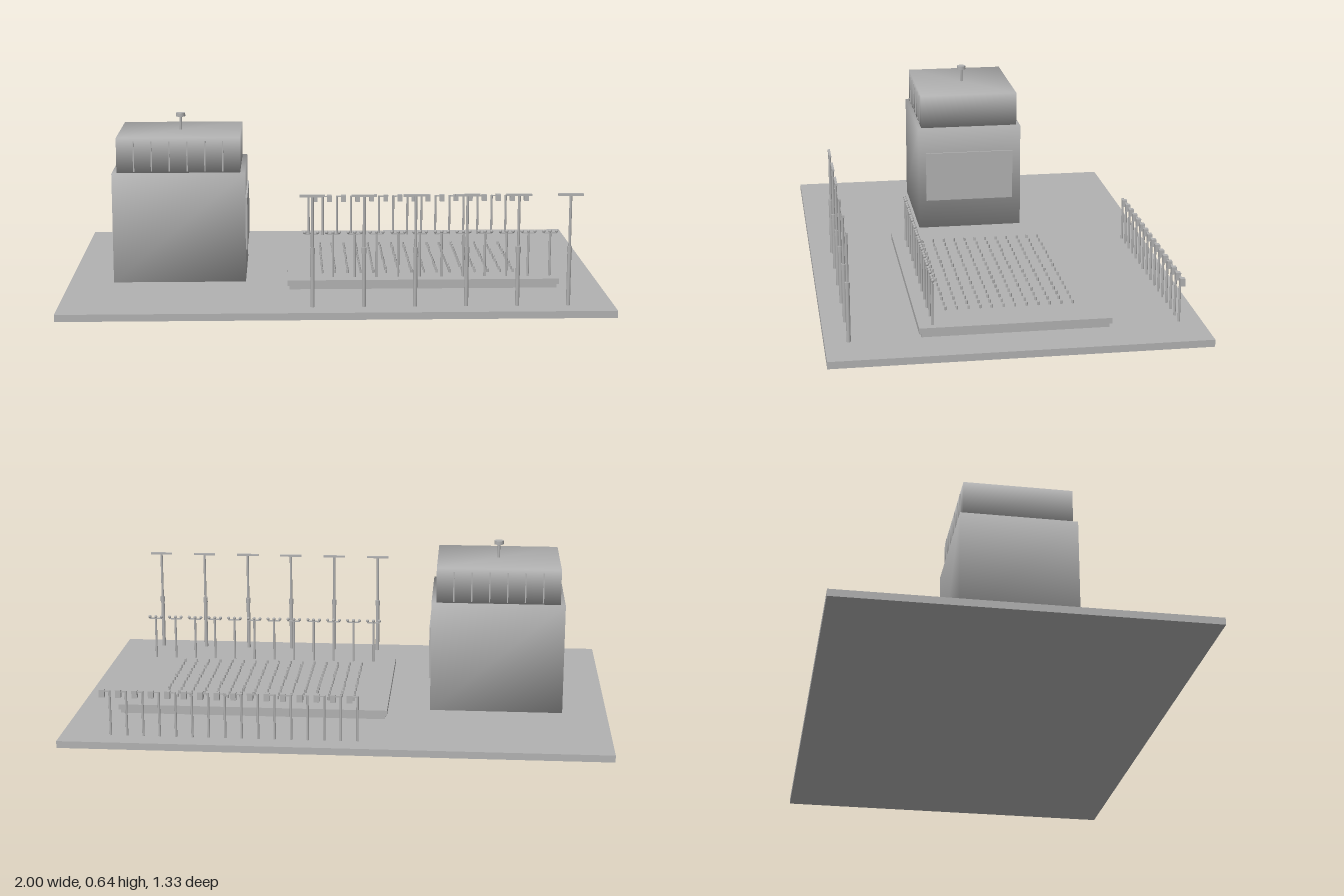
import * as THREE from 'three';
import { mergeVertices } from 'three/addons/utils/BufferGeometryUtils.js';

const concrete = new THREE.MeshStandardMaterial({ color: 0xb2b2b2 });
concrete.name = 'concrete grey';

function add(parent, name, geometry, x, y, z) {
  const mesh = new THREE.Mesh(geometry, concrete);
  mesh.name = name;
  mesh.position.set(x, y, z);
  parent.add(mesh);
  return mesh;
}

const box = (w, h, d) => new THREE.BoxGeometry(w, h, d);
const rod = (r, h, sides = 8) => new THREE.CylinderGeometry(r, r, h, sides);

// Box whose corners share one averaged normal, for soft shading
function softBox(w, h, d) {
  const g = box(w, h, d);
  g.deleteAttribute('uv');
  g.deleteAttribute('normal');
  const merged = mergeVertices(g);
  merged.computeVertexNormals();
  return merged;
}

// Calls build(group) for evenly spaced copies along x
function row(parent, name, count, x0, x1, y, z, build) {
  for (let i = 0; i < count; i++) {
    const g = new THREE.Group();
    g.name = name;
    g.position.set(x0 + (x1 - x0) * i / (count - 1), y, z);
    build(g);
    parent.add(g);
  }
}

export function createModel() {
  const model = new THREE.Group();
  model.name = 'plaza';

  // Ground slab and two-layer platform
  add(model, 'groundSlab', box(2, 0.026, 1.334), 0, 0.013, 0);
  add(model, 'platformBase', box(1.0, 0.016, 0.664), 0.332, 0.034, 0);
  add(model, 'platformTop', box(1.016, 0.021, 0.68), 0.332, 0.0515, 0);

  // Building with a set-back upper storey
  const building = new THREE.Group();
  building.name = 'building';
  building.position.x = -0.583;
  model.add(building);
  add(building, 'buildingBody', softBox(0.5, 0.419, 0.418), 0, 0.2355, 0);
  add(building, 'upperStorey', softBox(0.464, 0.133, 0.39), 0, 0.5115, 0);
  add(building, 'wallScreen', box(0.008, 0.2, 0.355), 0.253, 0.243, 0.002);
  for (const side of [-1, 1]) {
    row(building, 'upperFin', 6, -0.167, 0.167, 0.508, side * 0.196, g =>
      add(g, 'finStrip', box(0.005, 0.115, 0.005), 0, 0, 0));
  }
  add(building, 'roofPost', rod(0.005, 0.056), 0, 0.604, 0);
  add(building, 'roofCap', rod(0.018, 0.014, 16), 0, 0.637, 0);

  // Grid of fountain jets
  const jet = rod(0.004, 0.014);
  for (let r = 0; r < 12; r++) {
    row(model, 'fountainJet', 16, -0.043, 0.68, 0.068, -0.23 + r * 0.0418, g =>
      add(g, 'nozzle', jet, 0, 0, 0));
  }

  // Twin-arm lights along the platform
  row(model, 'platformLight', 12, -0.086, 0.81, 0.062, 0.291, g => {
    add(g, 'lightPost', rod(0.0045, 0.172), 0, 0.086, 0);
    add(g, 'lightArm', box(0.05, 0.005, 0.005), 0, 0.165, 0);
    for (const x of [-0.024, 0, 0.024]) {
      add(g, 'lightBulb', new THREE.SphereGeometry(0.0065, 8, 6), x, 0.172, 0);
    }
  });

  // Tall lamps along the front
  row(model, 'tallLamp', 6, -0.086, 0.834, 0.026, 0.583, g => {
    add(g, 'lampLowerPost', rod(0.0075, 0.2), 0, 0.1, 0);
    add(g, 'lampCollar', rod(0.0095, 0.022), 0, 0.207, 0);
    add(g, 'lampUpperPost', rod(0.005, 0.19), 0, 0.308, 0);
    add(g, 'lampCrossbar', box(0.09, 0.008, 0.009), 0, 0.406, 0);
  });

  // Small lamps with offset heads along the back
  row(model, 'smallLamp', 16, -0.083, 0.817, 0.026, -0.585, g => {
    add(g, 'smallPost', rod(0.0045, 0.17), 0, 0.085, 0);
    add(g, 'smallArm', box(0.03, 0.005, 0.005), 0.013, 0.167, 0);
    add(g, 'smallHead', box(0.02, 0.028, 0.018), 0.028, 0.159, 0);
  });

  return model;
}
